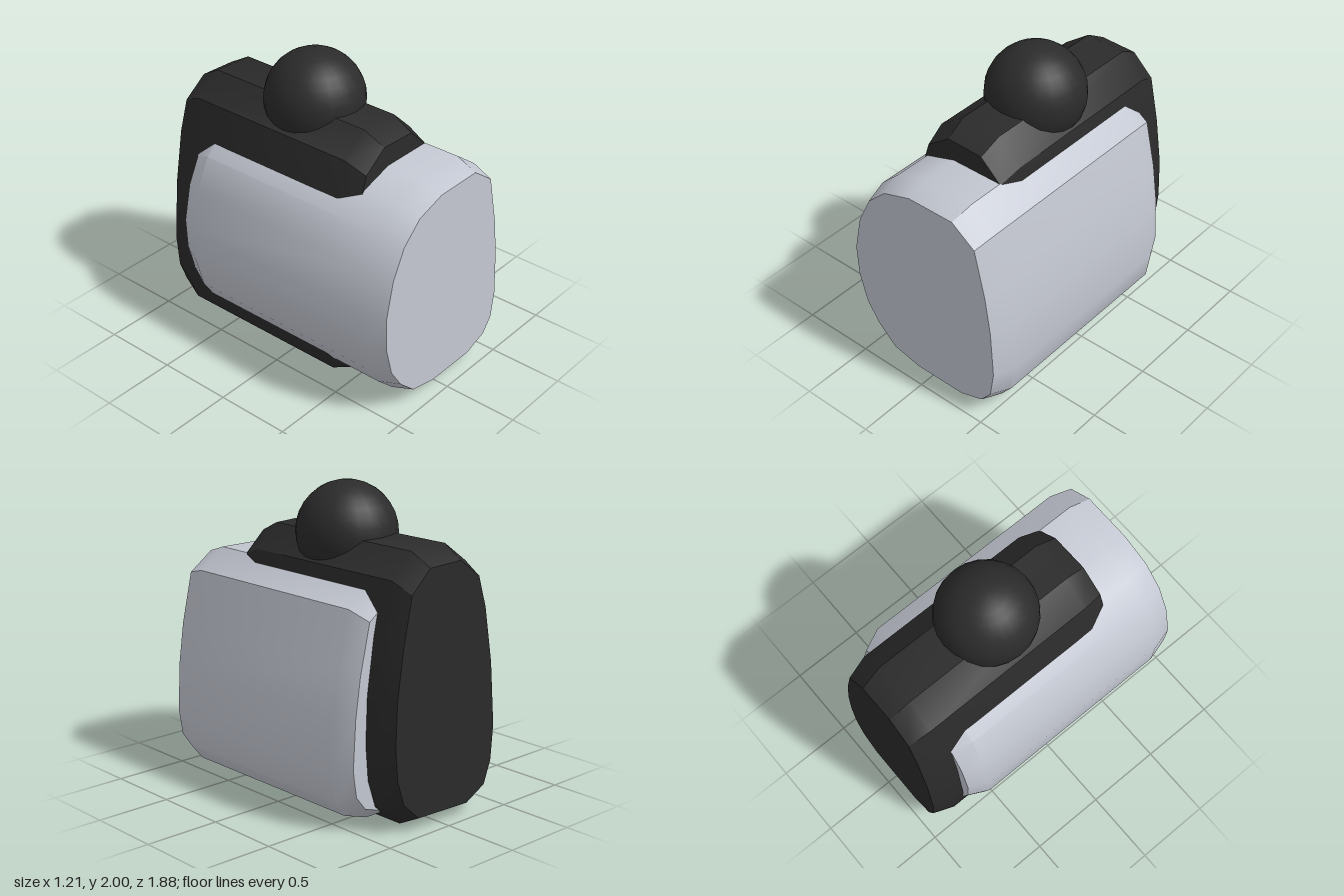
import * as THREE from 'three';
import { toCreasedNormals } from 'three/addons/utils/BufferGeometryUtils.js';

const shellGrey = new THREE.MeshStandardMaterial({ name: 'shellGrey', color: 0xc4c8d2 });
const coreBlack = new THREE.MeshStandardMaterial({ name: 'coreBlack', color: 0x2b2b2b });

// Sweep a clockwise outline (seen from the front) along z.
// stations: [z, scale about the centre (0, cy)], ordered front to back.
function loft(outline, stations, cy) {
  const n = outline.length;
  const rings = stations.map(([z, s]) =>
    outline.map(([x, y]) => [x * s, cy + (y - cy) * s, z]));
  const pos = [];
  const tri = (a, b, c) => pos.push(...a, ...b, ...c);
  for (let r = 0; r < rings.length - 1; r++) {
    const f = rings[r], b = rings[r + 1];
    for (let i = 0; i < n; i++) {
      const j = (i + 1) % n;
      tri(f[i], f[j], b[i]);
      tri(f[j], b[j], b[i]);
    }
  }
  // flat end caps
  const front = rings[0], back = rings[rings.length - 1];
  for (let i = 1; i < n - 1; i++) {
    tri(front[0], front[i + 1], front[i]);
    tri(back[0], back[i], back[i + 1]);
  }
  const geo = new THREE.BufferGeometry();
  geo.setAttribute('position', new THREE.Float32BufferAttribute(pos, 3));
  return toCreasedNormals(geo, 0.54);
}

export function createModel() {
  const group = new THREE.Group();
  const add = (name, geo, mat) => {
    const mesh = new THREE.Mesh(geo, mat);
    mesh.name = name;
    group.add(mesh);
    return mesh;
  };

  // Wide grey shell with bevelled ends
  const shellOutline = [
    [-0.08, 1.48], [0.28, 1.48], [0.46, 1.35], [0.54, 1.0], [0.58, 0.72], [0.60, 0.37],
    [0.57, 0.18], [0.49, 0.08], [0.31, 0.02], [-0.08, 0.02], [-0.30, 0.07], [-0.44, 0.20],
    [-0.54, 0.35], [-0.60, 0.57], [-0.61, 0.80], [-0.55, 1.07], [-0.45, 1.27], [-0.30, 1.41],
  ];
  add('shell', loft(shellOutline, [[0.94, 0.932], [0.79, 1], [-0.60, 1], [-0.73, 0.9]], 0.75), shellGrey);

  // Narrow black core showing above, below and behind the shell
  const coreOutline = [
    [-0.13, 1.69], [0.15, 1.68], [0.31, 1.53], [0.38, 1.20], [0.43, 0.85], [0.44, 0.55],
    [0.42, 0.32], [0.36, 0.14], [0.22, 0.015], [-0.24, 0], [-0.41, 0.09], [-0.47, 0.25],
    [-0.49, 0.50], [-0.45, 0.95], [-0.38, 1.34], [-0.31, 1.56],
  ];
  add('core', loft(coreOutline, [[0.545, 0.92], [0.40, 1], [-0.80, 1], [-0.94, 0.91]], 0.8), coreBlack);

  // Ball sunk into the top of the core
  const ball = add('ball', new THREE.SphereGeometry(0.32, 24, 16), coreBlack);
  ball.position.set(0.01, 1.68, -0.105);

  return group;
}
